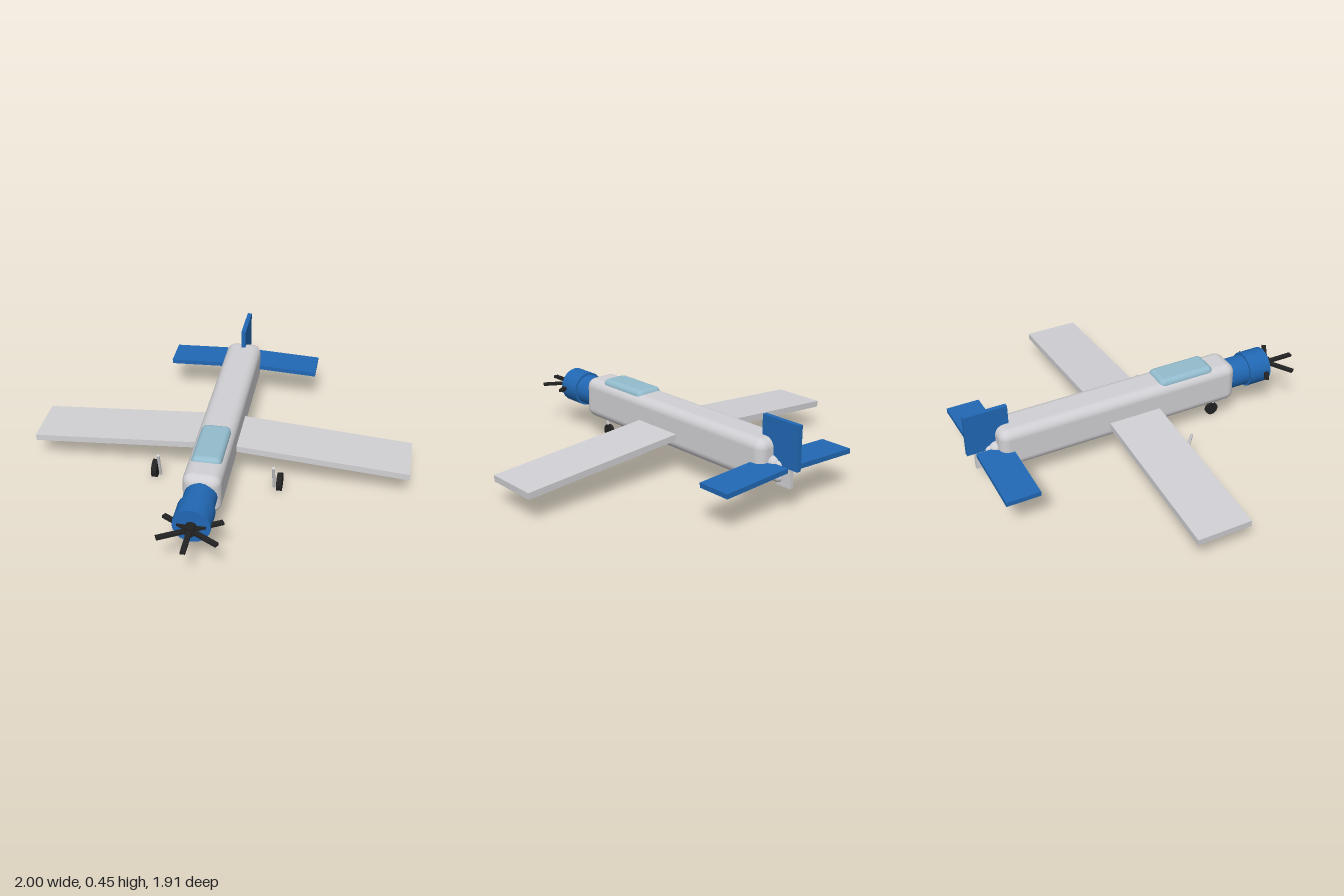
import * as THREE from 'three';
import { RoundedBoxGeometry } from 'three/addons/geometries/RoundedBoxGeometry.js';

const paint = (name, color) => {
  const m = new THREE.MeshStandardMaterial({ color });
  m.name = name;
  return m;
};

export function createModel() {
  const grey = paint('light grey', 0xd0d0d4);
  const blue = paint('blue', 0x2168b4);
  const black = paint('black', 0x222222);
  const glass = paint('pale blue glass', 0x93bccd);

  const model = new THREE.Group();
  model.name = 'propellerPlane';

  const add = (name, geometry, material, x, y, z) => {
    const mesh = new THREE.Mesh(geometry, material);
    mesh.name = name;
    mesh.position.set(x, y, z);
    model.add(mesh);
    return mesh;
  };

  // Boxes given by their extents, sharp or rounded
  const block = (name, material, [x0, x1], [y0, y1], [z0, z1], radius = 0) => {
    const size = [x1 - x0, y1 - y0, z1 - z0];
    const geometry = radius
      ? new RoundedBoxGeometry(...size, 3, radius)
      : new THREE.BoxGeometry(...size);
    return add(name, geometry, material, (x0 + x1) / 2, (y0 + y1) / 2, (z0 + z1) / 2);
  };

  // Cylinder lying along z
  const drum = (name, material, radius, z0, z1, sides) =>
    add(name, new THREE.CylinderGeometry(radius, radius, z1 - z0, sides).rotateX(Math.PI / 2),
      material, 0, 0.24, (z0 + z1) / 2);

  // Round strut between two points
  const strut = (name, a, b, radius) => {
    const from = new THREE.Vector3(...a), to = new THREE.Vector3(...b);
    const mid = from.clone().add(to).multiplyScalar(0.5);
    const mesh = add(name, new THREE.CylinderGeometry(radius, radius, from.distanceTo(to), 10),
      grey, mid.x, mid.y, mid.z);
    mesh.quaternion.setFromUnitVectors(new THREE.Vector3(0, 1, 0), to.sub(from).normalize());
  };

  const wheel = (name, x, y, z, radius, width) =>
    add(name, new THREE.CylinderGeometry(radius, radius, width, 24).rotateZ(Math.PI / 2), black, x, y, z);

  // Drooping slab: side is 1 or -1, heights are of the mid-plane
  const slab = (name, material, side, [x0, x1], [yRoot, yTip], [z0, z1], thickness) => {
    const angle = Math.atan2(yTip - yRoot, x1 - x0);
    const length = Math.hypot(x1 - x0, yTip - yRoot);
    const mesh = add(name, new THREE.BoxGeometry(length, thickness, z1 - z0), material,
      side * (x0 + x1) / 2, (yRoot + yTip) / 2, (z0 + z1) / 2);
    mesh.rotation.z = side * angle;
  };

  // Body and canopy
  block('fuselage', grey, [-0.097, 0.097], [0.13, 0.35], [-0.805, 0.54], 0.05);
  block('canopy', glass, [-0.077, 0.077], [0.3, 0.37], [0.09, 0.408], 0.03);

  // Stepped tail cone, fin and the small keel below it
  block('tailCone', grey, [-0.05, 0.05], [0.145, 0.265], [-0.842, -0.7], 0.035);
  block('tailTip', grey, [-0.033, 0.033], [0.137, 0.25], [-0.865, -0.7], 0.03);
  block('tailFin', blue, [-0.012, 0.012], [0.223, 0.452], [-0.957, -0.73]);
  block('ventralKeel', grey, [-0.01, 0.01], [0.126, 0.223], [-0.915, -0.83]);

  // Nose
  drum('engineCollar', blue, 0.082, 0.52, 0.645, 20);
  drum('engineCowl', blue, 0.094, 0.637, 0.763, 20);
  drum('propellerHub', black, 0.028, 0.755, 0.811, 16);

  // Six flat blades fanned out level around the hub
  for (let i = 0; i < 6; i++) {
    const blade = add('propellerBlade' + (i + 1),
      new THREE.BoxGeometry(0.025, 0.014, 0.166).translate(0, 0, 0.083), black, 0, 0.241, 0.79);
    blade.rotation.y = i * Math.PI / 3;
  }

  // Mirrored wings, tailplanes and main gear
  for (const side of [1, -1]) {
    const label = side > 0 ? 'left' : 'right';
    slab(label + 'Wing', grey, side, [0.06, 0.998], [0.211, 0.144], [-0.215, 0.072], 0.034);
    slab(label + 'Tailplane', blue, side, [0.03, 0.422], [0.224, 0.207], [-0.915, -0.738], 0.025);
    strut(label + 'GearStrut', [side * 0.305, 0.168, 0.149], [side * 0.305, 0.018, 0.106], 0.008);
    wheel(label + 'Wheel', side * 0.334, 0.049, 0.1, 0.048, 0.028);
  }

  // Nose gear
  strut('noseGearStrut', [0, 0.15, 0.484], [0, 0.045, 0.452], 0.007);
  wheel('noseWheel', 0, 0.039, 0.451, 0.036, 0.018);

  return model;
}
